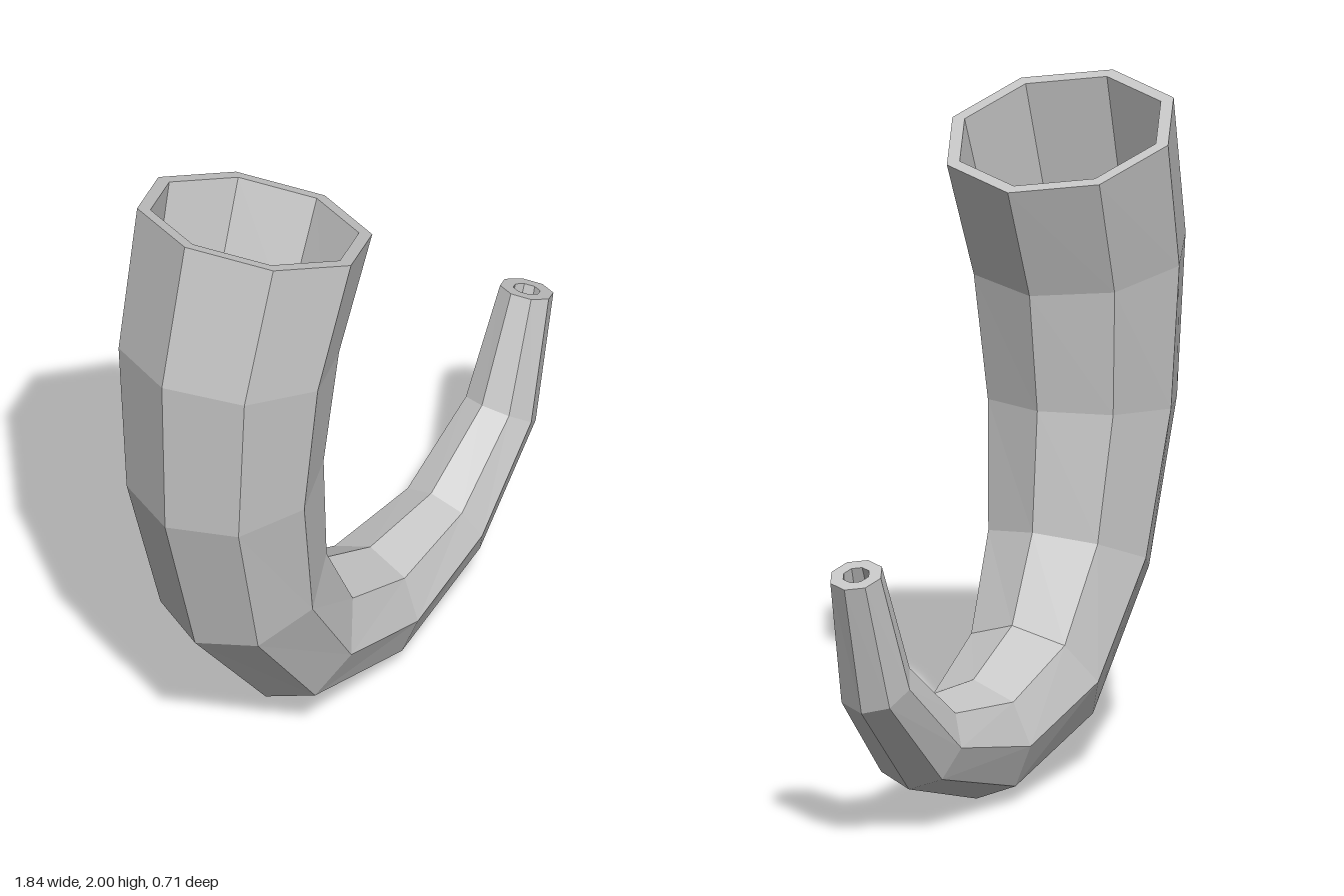
import * as THREE from 'three';

const SIDES = 8;
const WALL = 0.04;

// Each ring of the horn: outer-bend point (x, y), then inner-bend point (x, y)
const SECTIONS = [
  [-0.81, 2.0, -0.135, 1.785],
  [-0.92, 1.55, -0.275, 1.44],
  [-0.905, 1.03, -0.325, 1.08],
  [-0.76, 0.52, -0.293, 0.72],
  [-0.42, 0.12, -0.163, 0.47],
  [0.065, 0.0, 0.085, 0.365],
  [0.5, 0.13, 0.378, 0.385],
  [0.805, 0.43, 0.623, 0.56],
  [0.915, 0.83, 0.763, 0.885],
];

// Octagonal ring standing across the bend, shrunk by inset
function makeRing([ax, ay, bx, by], inset) {
  const centre = new THREE.Vector3((ax + bx) / 2, (ay + by) / 2, 0);
  const u = new THREE.Vector3(ax - bx, ay - by, 0);
  const r = u.length() / 2 - inset;
  u.normalize();
  return Array.from({ length: SIDES }, (_, j) => {
    const a = (j / SIDES) * Math.PI * 2;
    const p = centre.clone().addScaledVector(u, r * Math.cos(a));
    p.z = r * Math.sin(a);
    return p;
  });
}

// Faceted skin joining consecutive rings
function makeBand(rings) {
  const pos = [];
  for (let i = 0; i < rings.length - 1; i++) {
    for (let j = 0; j < SIDES; j++) {
      const k = (j + 1) % SIDES;
      const a = rings[i][j], b = rings[i + 1][j], c = rings[i + 1][k], d = rings[i][k];
      for (const p of [a, b, c, a, c, d]) pos.push(p.x, p.y, p.z);
    }
  }
  const geo = new THREE.BufferGeometry();
  geo.setAttribute('position', new THREE.Float32BufferAttribute(pos, 3));
  geo.computeVertexNormals();
  return geo;
}

export function createModel() {
  const group = new THREE.Group();
  group.name = 'horn';
  const material = new THREE.MeshStandardMaterial({ color: 0xc6c6c6 });
  material.name = 'hornGrey';

  const outer = SECTIONS.map((s) => makeRing(s, 0));
  const inner = SECTIONS.map((s) => makeRing(s, WALL));
  const last = SECTIONS.length - 1;

  const parts = {
    outerShell: outer,
    tipRim: [outer[last], inner[last]],
    innerBore: [...inner].reverse(),
    mouthRim: [inner[0], outer[0]],
  };
  for (const [name, rings] of Object.entries(parts)) {
    const mesh = new THREE.Mesh(makeBand(rings), material);
    mesh.name = name;
    group.add(mesh);
  }
  return group;
}
